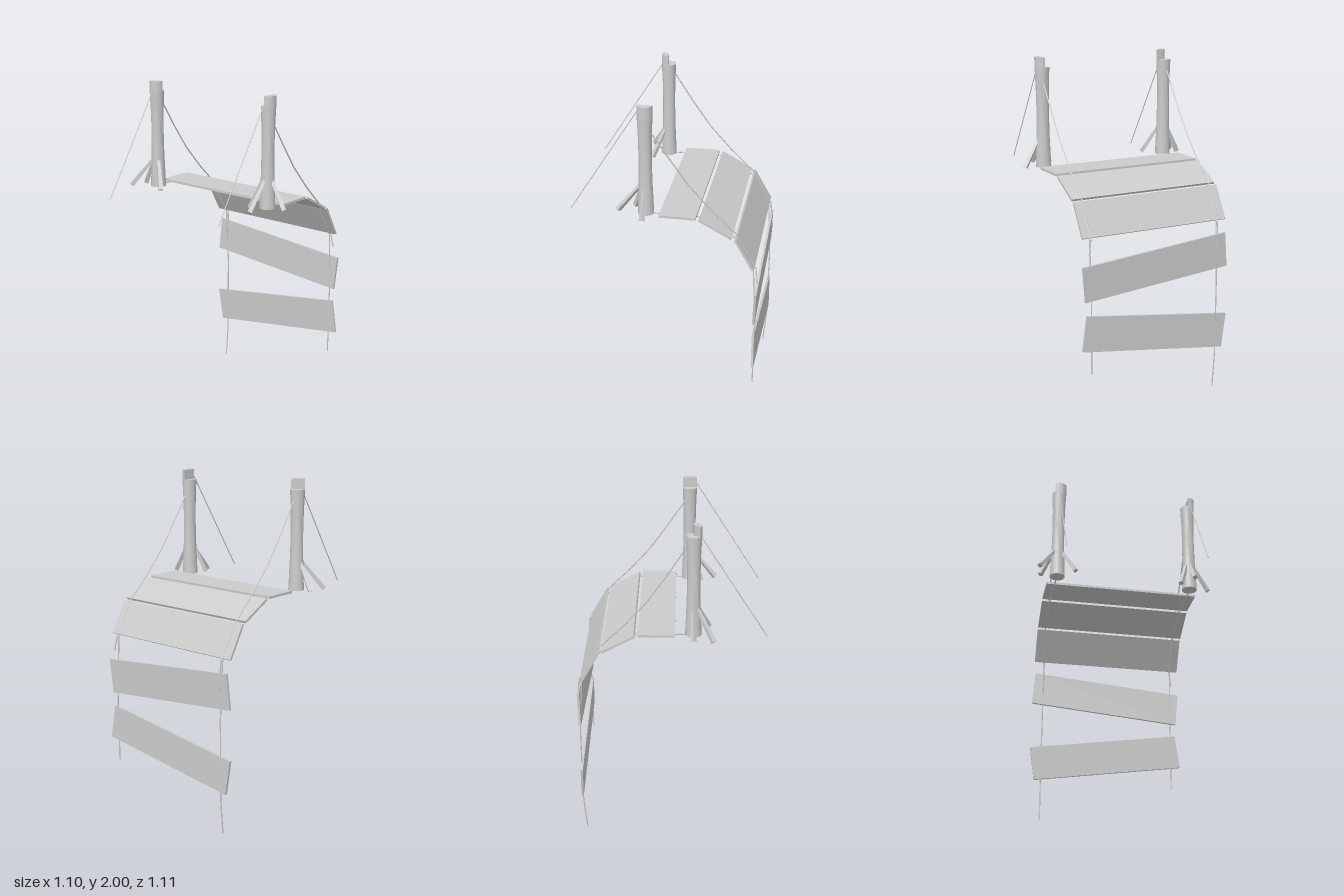
import * as THREE from 'three';
import { toCreasedNormals } from 'three/addons/utils/BufferGeometryUtils.js';

const mat = new THREE.MeshStandardMaterial({ color: 0xcccccc });
const flat = new THREE.MeshStandardMaterial({ color: 0xcccccc, flatShading: true });
const V = (p) => new THREE.Vector3(...p);

function add(parent, name, geometry, material = mat) {
  const mesh = new THREE.Mesh(geometry, material);
  mesh.name = name;
  parent.add(mesh);
  return mesh;
}

// tapered bar from a to b
function bar(parent, name, a, b, ra, rb, sides, material = mat) {
  const d = b.clone().sub(a);
  const mesh = add(parent, name, new THREE.CylinderGeometry(rb, ra, d.length(), sides), material);
  mesh.position.copy(a).addScaledVector(d, 0.5);
  mesh.quaternion.setFromUnitVectors(new THREE.Vector3(0, 1, 0), d.normalize());
}

// rope made of straight lengths
function rope(parent, name, points, r = 0.004) {
  const group = new THREE.Group();
  group.name = name;
  parent.add(group);
  for (let i = 1; i < points.length; i++) {
    bar(group, name + 'Length', V(points[i - 1]), V(points[i]), r, r, 6);
  }
}

// waisted post with a split top and splayed braces at its foot
function post(parent, name, x, z, arc, feet) {
  const group = new THREE.Group();
  group.name = name;
  parent.add(group);

  const profile = [[0, 1.345], [0.047, 1.345], [0.044, 1.42], [0.039, 1.55], [0.037, 1.7],
    [0.039, 1.82], [0.044, 1.94], [0, 1.94]].map((p) => new THREE.Vector2(...p));
  add(group, 'trunk', toCreasedNormals(new THREE.LatheGeometry(profile, 24), 0.7)).position.set(x, 0, z);

  const sector = new THREE.Shape();
  sector.moveTo(0, 0);
  sector.absarc(0, 0, 0.044, arc[0], arc[1], false);
  sector.lineTo(0, 0);
  const top = new THREE.ExtrudeGeometry(sector, { depth: 0.07, bevelEnabled: false, curveSegments: 12 });
  top.rotateX(-Math.PI / 2);
  add(group, 'splitTop', toCreasedNormals(top, 0.7)).position.set(x, 1.93, z);

  for (const [fx, fz] of feet) {
    const dir = new THREE.Vector3(fx - x, 0, fz - z).normalize().multiplyScalar(0.025);
    bar(group, 'brace', new THREE.Vector3(x + dir.x, 1.52, z + dir.z),
      new THREE.Vector3(fx, 1.35, fz), 0.012, 0.018, 4, flat);
  }
}

// plank centred at (x, y), rolled about z and tilted about x
function plank(parent, x, y, width, roll, tilt = 0) {
  const mesh = add(parent, 'plank', new THREE.BoxGeometry(width, 0.014, 0.95));
  mesh.position.set(x, y, 0.003);
  mesh.rotation.set(tilt, 0, roll);
}

export function createModel() {
  const model = new THREE.Group();
  model.name = 'brokenRopeBridge';

  post(model, 'backPost', -0.133, -0.42, [2.43, 4.83],
    [[-0.248, -0.54], [-0.134, -0.525], [-0.222, -0.318]]);
  post(model, 'frontPost', -0.112, 0.42, [Math.PI, 2 * Math.PI],
    [[-0.275, 0.418], [-0.185, 0.35], [-0.112, 0.54]]);

  // deck planks, bending over the edge
  plank(model, 0.077, 1.354, 0.212, 0);
  plank(model, 0.297, 1.298, 0.212, -0.49);
  plank(model, 0.464, 1.147, 0.215, -1.05);

  // loose hanging planks
  const hanging = [[0.83, 0.09, 1.6, 0.533], [0.428, -0.143, 1.55, 0.532]];
  for (const [y, tilt, roll, x] of hanging) plank(model, x, y, 0.211, -roll, tilt);

  for (const s of [1, -1]) {
    const z = s > 0 ? 0.425 : -0.422;
    const zEnd = s > 0 ? 0.43 : -0.41;

    // deck rope under the planks
    const deck = [[-0.11, 1.348, z], [0.19, 1.348, z], [0.395, 1.24, z], [0.515, 1.045, zEnd], [0.535, 0.7, zEnd]];
    if (s > 0) deck.push([0.533, 0.245, zEnd]);
    else deck.push([0.534, 0.22, zEnd], [0.515, 0, zEnd]);
    rope(model, 'deckRope', deck);

    // handrail rope
    rope(model, 'handRope', [[-0.09, s > 0 ? 1.86 : 1.87, z], [0.02, 1.7, z], [0.13, 1.545, z], [0.26, 1.4, z],
      [0.41, 1.255, z], [0.53, 1.045, zEnd],
      s > 0 ? [0.54, 0.955, 0.445] : [0.546, 0.87, zEnd]]);

    // guy rope
    rope(model, 'guyRope', [[-0.14, 1.985, z], [-0.553, 1.336, z]], 0.003);
  }
  return model;
}
